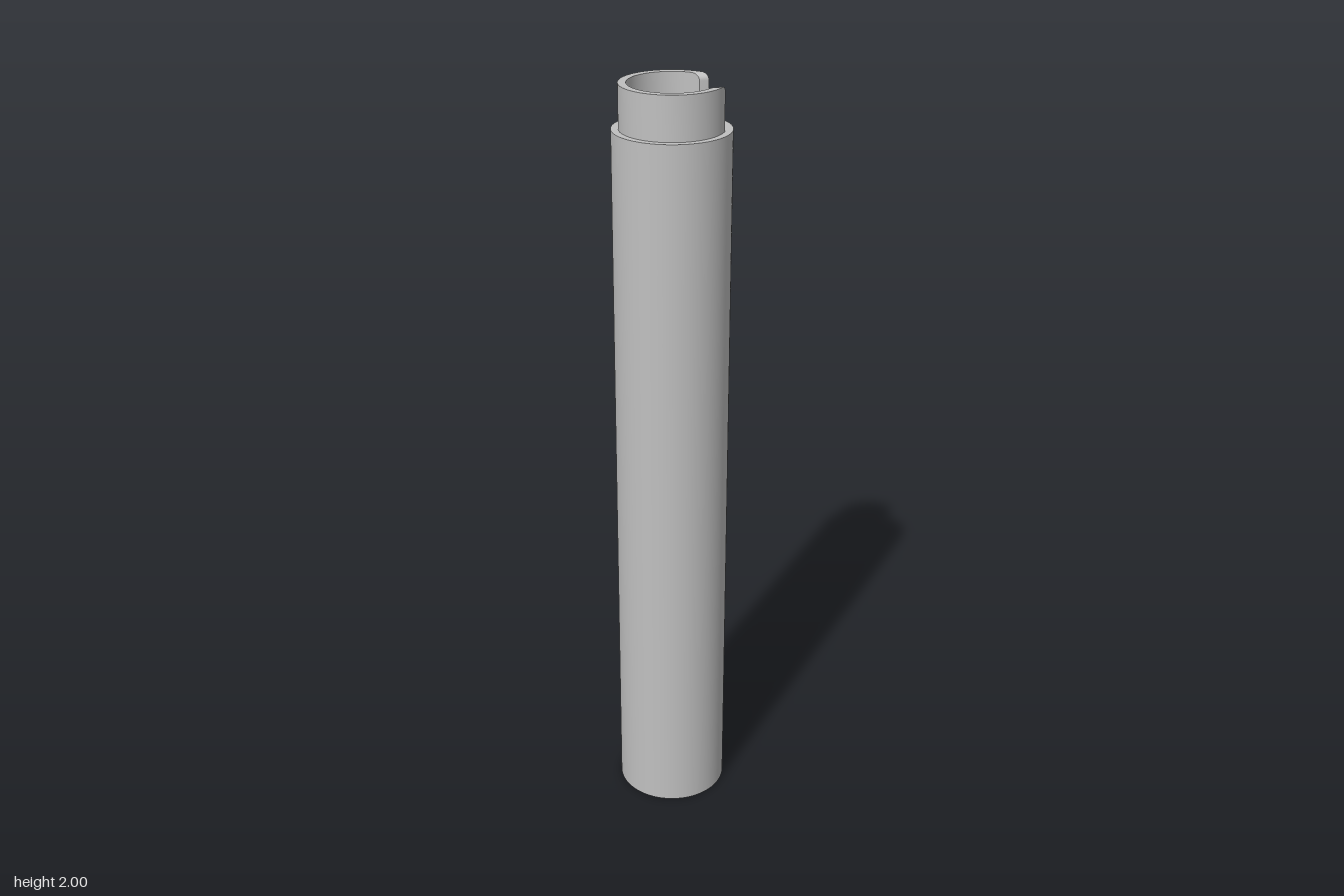
import * as THREE from 'three';
import { toCreasedNormals } from 'three/addons/utils/BufferGeometryUtils.js';

const BORE = 0.109, BODY = 0.147, COLLAR = 0.129; // radii
const SHOULDER = 1.89, TOP = 2;                   // heights
const SLOT = 0.065, FILLET = 0.018;               // slot half width, rounded corner

// Smooth round walls, sharp rims (scaled up so that close vertices stay distinct)
function crease(geometry) {
  geometry.scale(100, 100, 100);
  const result = toCreasedNormals(geometry, Math.PI / 6);
  return result.scale(0.01, 0.01, 0.01);
}

// Hollow main tube
function tubeGeometry() {
  const profile = [[BORE, 0], [BODY, 0], [BODY, SHOULDER], [BORE, SHOULDER], [BORE, 0]];
  return crease(new THREE.LatheGeometry(profile.map(([r, y]) => new THREE.Vector2(r, y)), 96));
}

// Open ring swept around the axis, with flat slot faces and rounded upper corners
function collarGeometry() {
  const section = (inner, outer, top) => [
    [BORE, inner, SHOULDER], [COLLAR, outer, SHOULDER], [COLLAR, outer, top], [BORE, inner, top],
  ].map(([r, angle, y]) => [r * Math.cos(angle), y, r * Math.sin(angle)]);

  const corner = [];
  for (let i = 0; i <= 8; i++) {
    const a = (i / 8) * Math.PI / 2;
    const z = SLOT + FILLET * (1 - Math.cos(a));
    corner.push([Math.asin(z / BORE), Math.asin(z / COLLAR), TOP - FILLET * (1 - Math.sin(a))]);
  }
  const [inner0, outer0] = corner[8];
  const stations = [...corner];
  for (let i = 1; i < 72; i++) {
    const t = i / 72;
    stations.push([inner0, outer0].map((s) => s + (2 * Math.PI - 2 * s) * t).concat(TOP));
  }
  for (const [a, b, y] of [...corner].reverse()) stations.push([2 * Math.PI - a, 2 * Math.PI - b, y]);

  const rings = stations.map((s) => section(...s));
  const positions = [];
  const quad = (a, b, c, d) => positions.push(...a, ...b, ...c, ...a, ...c, ...d);
  for (let i = 0; i < rings.length - 1; i++) {
    const p = rings[i], q = rings[i + 1];
    for (let k = 1; k < 4; k++) {
      const n = (k + 1) % 4;
      quad(p[k], p[n], q[n], q[k]);
    }
  }
  const first = rings[0], last = rings[rings.length - 1];
  quad(first[1], first[0], first[3], first[2]);
  quad(last[0], last[1], last[2], last[3]);

  const geometry = new THREE.BufferGeometry();
  geometry.setAttribute('position', new THREE.Float32BufferAttribute(positions, 3));
  return crease(geometry);
}

export function createModel() {
  const metal = new THREE.MeshStandardMaterial({ color: 0xc0c0c0 });
  metal.name = 'light grey metal';

  const group = new THREE.Group();
  group.name = 'slottedTube';
  const add = (name, geometry) => {
    const mesh = new THREE.Mesh(geometry, metal);
    mesh.name = name;
    group.add(mesh);
  };
  add('mainTube', tubeGeometry());
  add('slottedCollar', collarGeometry());
  return group;
}
